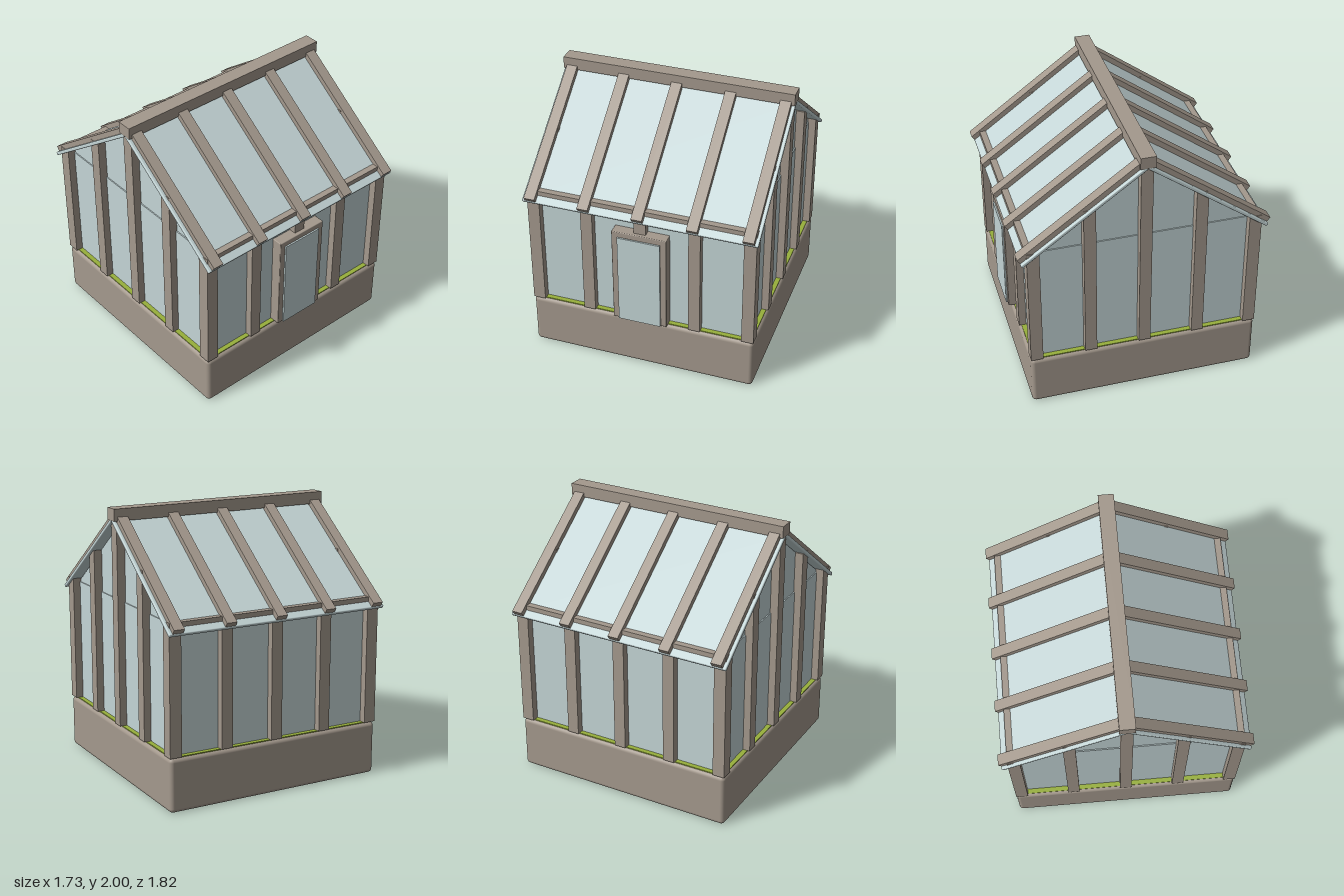
import * as THREE from 'three';
import { RoundedBoxGeometry } from 'three/addons/geometries/RoundedBoxGeometry.js';

export function createModel() {
  const group = new THREE.Group();
  const material = (name, color) => {
    const m = new THREE.MeshStandardMaterial({ color });
    m.name = name;
    return m;
  };
  const wood = material('wood', 0xa4998d);
  const glass = material('glass', 0xc4d5d6);
  const grass = material('grass', 0x98b03c);

  const add = (name, geometry, mat, parent = group) => {
    const mesh = new THREE.Mesh(geometry, mat);
    mesh.name = name;
    parent.add(mesh);
    return mesh;
  };
  // Box given by its minimum and maximum corners
  const box = (name, mat, x0, x1, y0, y1, z0, z1, radius = 0, parent = group) => {
    const size = [x1 - x0, y1 - y0, z1 - z0];
    const geometry = radius
      ? new RoundedBoxGeometry(...size, 3, radius)
      : new THREE.BoxGeometry(...size);
    const mesh = add(name, geometry, mat, parent);
    mesh.position.set((x0 + x1) / 2, (y0 + y1) / 2, (z0 + z1) / 2);
    return mesh;
  };

  // Planter base and the thin turf on top
  box('base', wood, -0.845, 0.845, 0, 0.395, -0.845, 0.845, 0.03);
  box('turf', grass, -0.825, 0.825, 0.392, 0.4, -0.825, 0.825);

  // Glass walls and gable
  box('wallGlass', glass, -0.79, 0.79, 0.4, 1.32, -0.79, 0.79);
  const gable = new THREE.Shape([
    new THREE.Vector2(-0.785, 1.32),
    new THREE.Vector2(0.785, 1.32),
    new THREE.Vector2(0, 1.9),
  ]);
  const gableGeometry = new THREE.ExtrudeGeometry(gable, { depth: 1.564, bevelEnabled: false });
  gableGeometry.translate(0, 0, -0.782).rotateY(Math.PI / 2);
  add('gableGlass', gableGeometry, glass);

  // Corner posts, front and back studs, gable studs
  const post = (name, x, z, y0, y1, w = 0.0435) =>
    box(name, wood, x - w, x + w, y0, y1, z - w, z + w);
  for (const s of [-1, 1]) {
    for (const x of [-0.8, 0.8]) post('cornerPost', x, s * 0.8, 0.4, 1.32, 0.045);
    for (const x of [-0.4, 0, 0.4]) {
      post(s > 0 ? 'frontStud' : 'backStud', x, s * 0.8, s > 0 && x === 0 ? 1.13 : 0.4, 1.3);
    }
    for (const z of [-0.4, 0, 0.4]) post('gableStud', s * 0.8, z, 0.4, z ? 1.633 : 1.915);
    box('eaveRail', wood, -0.845, 0.845, 1.27, 1.35, s * 0.8 - 0.045, s * 0.8 + 0.045);
  }

  // Door: frame and glass panel
  const door = new THREE.Group();
  door.name = 'door';
  group.add(door);
  for (const s of [-1, 1]) {
    box('doorJamb', wood, s * 0.18 - 0.023, s * 0.18 + 0.023, 0.4, 1.155, 0.77, 0.87, 0.006, door);
  }
  box('doorLintel', wood, -0.203, 0.203, 1.11, 1.155, 0.77, 0.87, 0.006, door);
  box('doorGlass', glass, -0.158, 0.158, 0.4, 1.112, 0.79, 0.88, 0, door);

  // Roof slopes, each built along its own local slope axis
  const pitch = Math.atan(0.733);
  for (const s of [1, -1]) {
    const slope = new THREE.Group();
    slope.name = s > 0 ? 'frontRoof' : 'backRoof';
    slope.rotation.y = s > 0 ? 0 : Math.PI;
    group.add(slope);
    const plane = new THREE.Group();
    plane.position.y = 1.903;
    plane.rotation.x = pitch;
    slope.add(plane);
    box('roofGlass', glass, -0.865, 0.865, 0, 0.026, 0, 1.087, 0.008, plane);
    for (let i = -2; i <= 2; i++) {
      const x = i * 0.4;
      box('rafter', wood, x - 0.04, x + 0.04, 0.014, 0.064, 0, 1.081, 0, plane);
    }
  }
  box('ridgeBeam', wood, -0.865, 0.865, 1.912, 2, -0.056, 0.056);

  return group;
}
